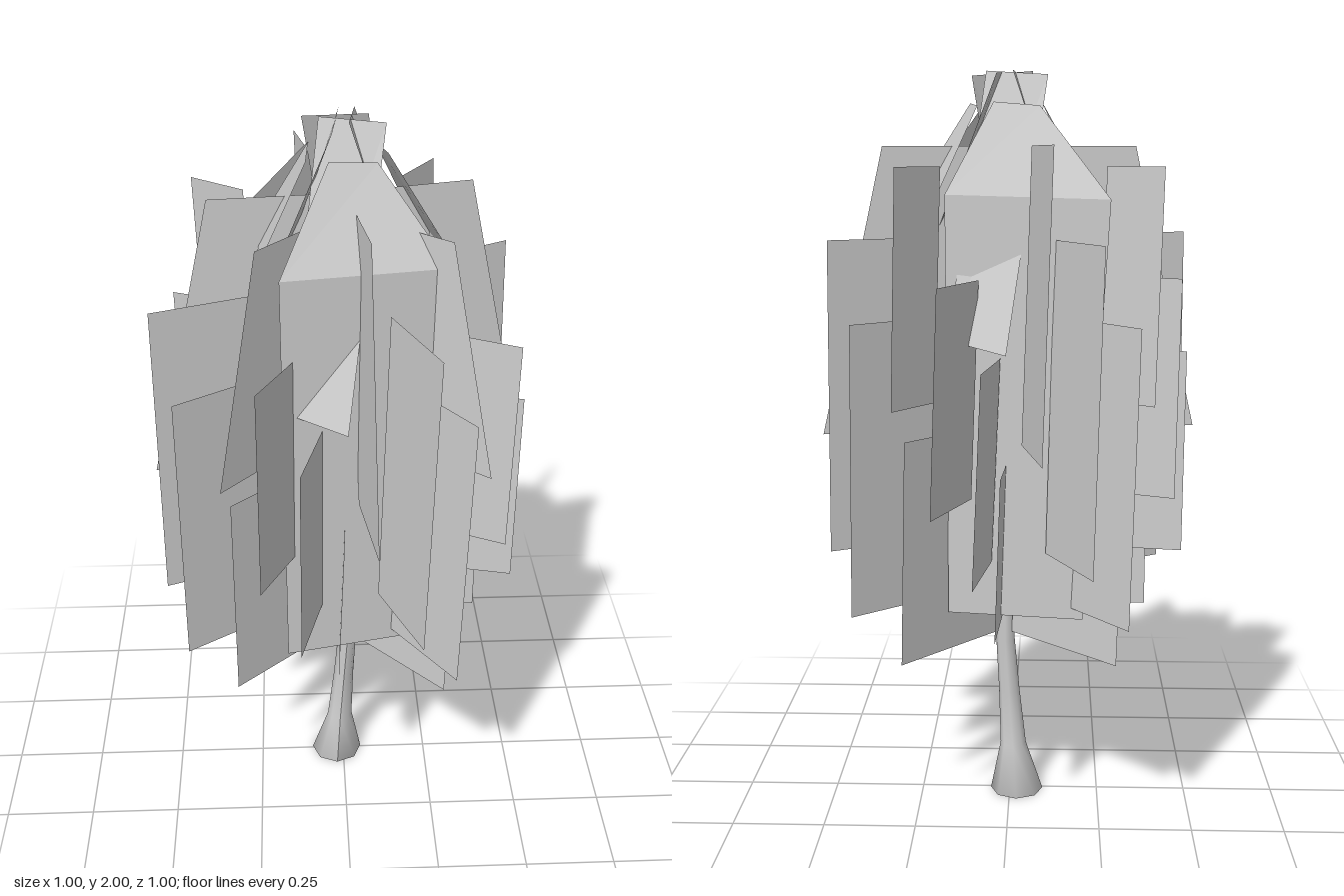
import * as THREE from 'three';

const material = new THREE.MeshStandardMaterial({ color: 0xcccccc, side: THREE.DoubleSide, flatShading: true });
const barkMaterial = new THREE.MeshStandardMaterial({ color: 0xcccccc, side: THREE.DoubleSide });

// Flat leaf card from four corners in loop order
function card(name, corners) {
  const geometry = new THREE.BufferGeometry();
  geometry.setAttribute('position', new THREE.Float32BufferAttribute(corners.flat(), 3));
  geometry.setIndex([0, 1, 2, 0, 2, 3]);
  geometry.computeVertexNormals();
  const mesh = new THREE.Mesh(geometry, material);
  mesh.name = name;
  return mesh;
}

// Upright card pointing out from the trunk, leaning slightly sideways
function radialCard(degrees, lean, inner, outer, topOuter, y0, y1) {
  const a = THREE.MathUtils.degToRad(degrees);
  const at = (r, y, s) => [Math.cos(a) * r - Math.sin(a) * s, y, Math.sin(a) * r + Math.cos(a) * s];
  const slide = outer - topOuter;
  return card('radialLeafCard', [
    at(inner, y0, lean / 2), at(outer, y0, lean / 2),
    at(topOuter, y1, -lean / 2), at(inner - slide, y1, -lean / 2),
  ]);
}

// Tapered, slightly bent trunk with a flared foot
function makeTrunk() {
  const profile = [[0, 0], [0.074, 0], [0.036, 0.14], [0.029, 0.3], [0.026, 0.45],
    [0.022, 0.7], [0.018, 1.1], [0.01, 1.5], [0, 1.75]];
  const geometry = new THREE.LatheGeometry(profile.map(([r, y]) => new THREE.Vector2(r, y)), 8);
  const p = geometry.attributes.position;
  for (let i = 0; i < p.count; i++) {
    const bend = Math.min(p.getY(i) / 0.45, 1);
    p.setX(i, p.getX(i) - 0.02 + 0.032 * bend);
    p.setZ(i, p.getZ(i) - 0.006 * (1 - bend));
  }
  geometry.computeVertexNormals();
  const trunk = new THREE.Mesh(geometry, barkMaterial);
  trunk.name = 'trunk';
  return trunk;
}

export function createModel() {
  const tree = new THREE.Group();
  tree.name = 'tree';
  tree.add(makeTrunk());

  // Outer cards of one quarter: angle, inner, outer, outer at top, bottom, top,
  // and the quarters in which a sloping card stands upright instead
  const fins = [
    [105, 0.21, 0.475, 0.475, 0.74, 1.28],
    [118, 0.23, 0.475, 0.475, 0.91, 1.48],
    [132, 0.3, 0.47, 0.325, 1.17, 1.76, [1, 2]],
    [138.5, 0.02, 0.4, 0.4, 0.48, 1.08],
    [147, 0.22, 0.51, 0.51, 0.62, 1.38],
    [159.5, 0.25, 0.515, 0.51, 0.77, 1.58],
    [174, 0.24, 0.505, 0.335, 1.06, 1.81, [1]],
  ];
  // Each quarter: turn of its outer cards, then centre x, z and direction of its wall card
  const quarters = [
    [0, 0.045, 0.215, -12],
    [-6, -0.21, 0.02, 94],
    [-7, -0.05, -0.21, 188],
    [-2, 0.22, -0.045, 258],
  ];

  quarters.forEach(([turn, cx, cz, direction], q) => {
    const quarter = new THREE.Group();
    quarter.name = 'foliageQuarter';
    const lean = q === 0 ? 0.004 : 0.024;
    for (const [angle, r0, r1, rTop, y0, y1, upright] of fins) {
      const top = upright?.includes(q) ? r1 : rTop;
      quarter.add(radialCard(angle + turn + q * 90, top < 0.34 ? 0.006 : lean, r0, r1, top, y0, y1));
    }
    quarter.add(radialCard(183 + q * 90, 0.015, 0.05, 0.375, 0.375, 0.57, 1.0));

    // Wall card around the trunk, and a sloping card closing in above it
    const a = THREE.MathUtils.degToRad(direction);
    const along = (s, y, f) => [cx * f + Math.cos(a) * s, y, cz * f + Math.sin(a) * s];
    quarter.add(card('wallLeafCard', [along(-0.21, 0.59, 1), along(0.15, 0.59, 1), along(0.21, 1.68, 1), along(-0.21, 1.69, 1)]));
    quarter.add(card('shoulderLeafCard', [along(-0.21, 1.69, 1), along(0.21, 1.68, 1), along(0.06, 1.91, 0.42), along(-0.06, 1.92, 0.42)]));

    // Long crown card hanging from the tip
    const crown = card('crownLeafCard', [[-0.15, 1.33, 0.24], [0, 1.3, 0.305], [0.1, 1.99, 0.03], [-0.06, 2, 0.01]]);
    crown.rotation.y = -q * Math.PI / 2;
    quarter.add(crown);
    tree.add(quarter);
  });
  return tree;
}
